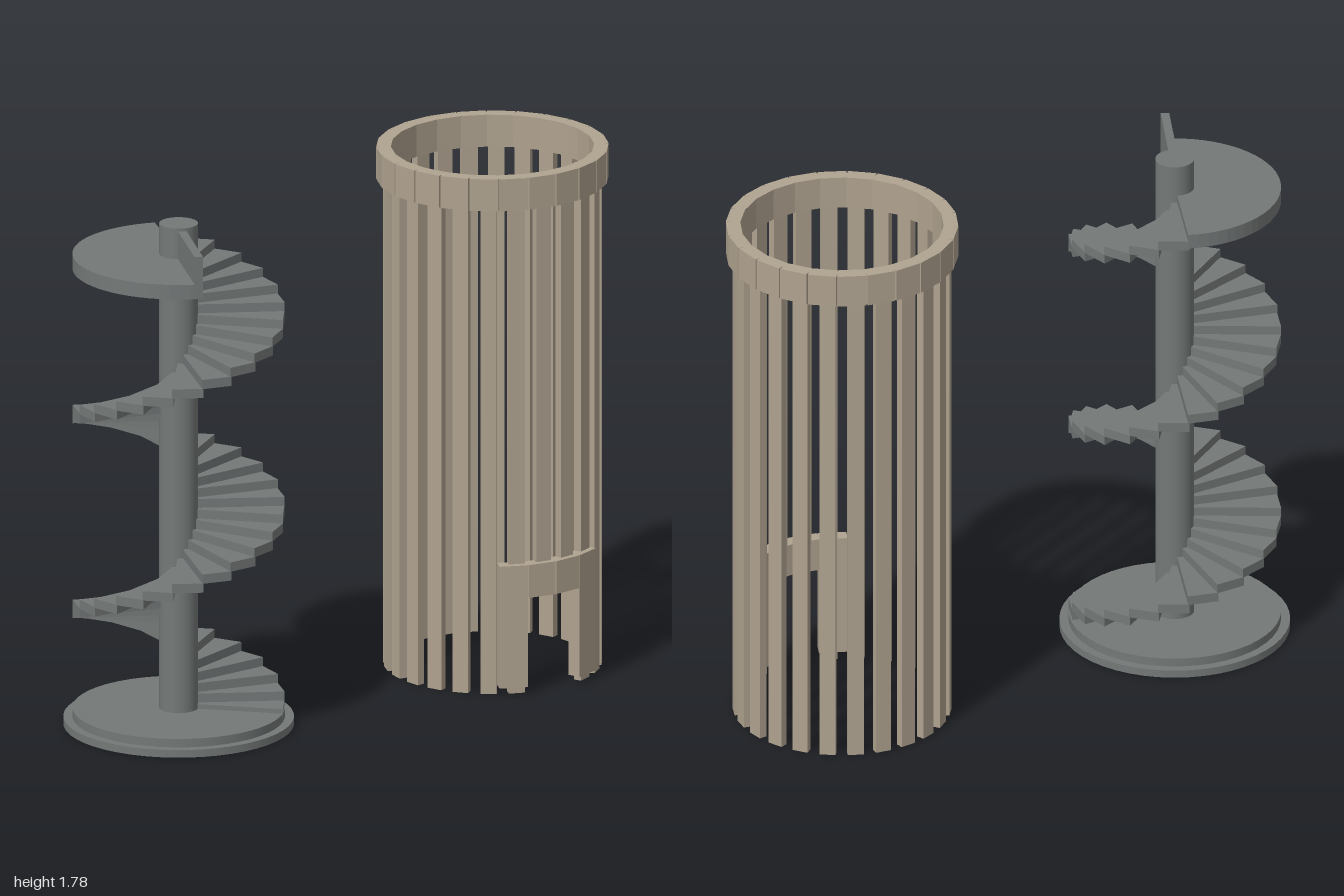
import * as THREE from 'three';

const stone = new THREE.MeshStandardMaterial({ color: 0x747978 });
const wood = new THREE.MeshStandardMaterial({ color: 0xb0a390 });
const rad = THREE.MathUtils.degToRad;

function add(group, name, geometry, material, x = 0, y = 0, z = 0) {
  const mesh = new THREE.Mesh(geometry, material);
  mesh.name = name;
  mesh.position.set(x, y, z);
  group.add(mesh);
  return mesh;
}

// Upright cylinder standing between two heights
function disc(group, name, r, y0, y1) {
  add(group, name, new THREE.CylinderGeometry(r, r, y1 - y0, 48), stone, 0, (y0 + y1) / 2);
}

// Flat pie slice, angles counted anticlockwise from +x as seen from above
function slice(inner, outer, from, to, height, segments) {
  const shape = new THREE.Shape();
  shape.moveTo(inner * Math.cos(from), inner * Math.sin(from));
  for (let i = 0; i <= segments; i++) {
    const a = from + (to - from) * i / segments;
    shape.lineTo(outer * Math.cos(a), outer * Math.sin(a));
  }
  shape.lineTo(inner * Math.cos(to), inner * Math.sin(to));
  return new THREE.ExtrudeGeometry(shape, { depth: height, bevelEnabled: false }).rotateX(-Math.PI / 2);
}

function createStairs() {
  const stairs = new THREE.Group();
  stairs.name = 'spiralStairs';
  disc(stairs, 'basePlate', 0.38, 0, 0.026);
  disc(stairs, 'baseFloor', 0.35, 0.026, 0.055);
  disc(stairs, 'column', 0.064, 0.05, 1.725);

  // Treads wind up from the floor to the landing
  const perTurn = 22, turn = Math.PI * 2 / perTurn, rise = 0.0305, count = 51;
  const tread = slice(0.04, 0.35, 0, turn * 1.04, 0.032, 1);
  for (let i = 0; i < count; i++) {
    const below = count - 1 - i;
    const step = add(stairs, 'tread', tread, stone, 0, 1.595 - rise * below - 0.032);
    step.rotation.y = rad(51.6) - turn * below;
  }

  // Half-round landing with a low wall along its front edge
  add(stairs, 'landing', slice(0.02, 0.35, rad(68), rad(247), 0.05, 32), stone, 0, 1.57);
  const wall = add(stairs, 'landingWall', new THREE.BoxGeometry(0.31, 0.145, 0.028).translate(0.195, 0, 0),
    stone, 0, 1.6425);
  wall.rotation.y = rad(246);
  return stairs;
}

function createCage() {
  const cage = new THREE.Group();
  cage.name = 'slattedCage';

  // Box set tangentially on a circle, angle counted from the front towards +x
  function block(name, angle, r0, r1, width, y0, y1) {
    const geometry = new THREE.BoxGeometry(width, y1 - y0, r1 - r0).translate(0, 0, (r0 + r1) / 2);
    add(cage, name, geometry, wood, 0, (y0 + y1) / 2).rotation.y = rad(angle);
  }

  for (let i = 0; i < 24; i++) {
    const overDoor = i === 0 || i === 23;
    block('slat', 8 + 15 * i, 0.333, 0.36, 0.054, overDoor ? 0.34 : 0, 1.7);
    block('topRing', 5.7 + 15 * i, 0.332, 0.38, 0.095, 1.67, 1.78);
  }

  // Doorway in the front
  for (const angle of [-24.3, 20.7]) block('doorPost', angle, 0.335, 0.38, 0.095, 0.025, 0.445);
  for (const angle of [-9.3, 5.7]) block('doorLintel', angle, 0.335, 0.38, 0.097, 0.332, 0.445);
  return cage;
}

export function createModel() {
  const model = new THREE.Group();
  model.name = 'spiralStairsAndCage';
  const stairs = createStairs();
  stairs.position.set(-0.62, 0, -0.017);
  const cage = createCage();
  cage.position.set(0.618, 0, 0.014);
  model.add(stairs, cage);
  return model;
}
